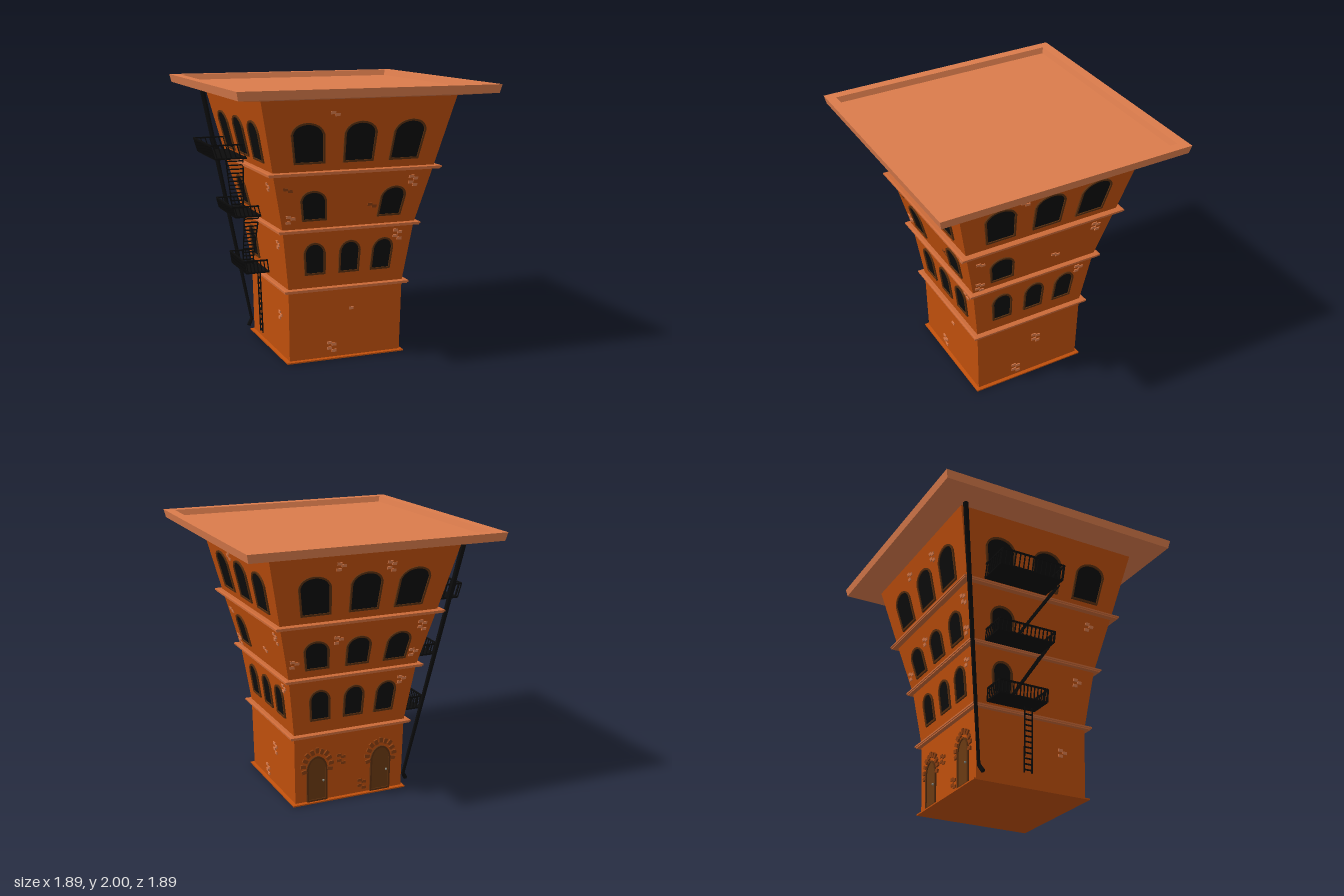
import * as THREE from 'three';

const mat = (color) => new THREE.MeshStandardMaterial({ color, flatShading: true, roughness: 0.9 });
const M = {
  wall: mat(0xbf4f0c), roof: mat(0xdb7c4c), ledge: mat(0xcb6a38), frame: mat(0x5c300f),
  glass: mat(0x0d0d0d), iron: mat(0x0b0b0b), door: mat(0x6a3a12), stone: mat(0x8a3e10),
  knob: mat(0x8a8a80),
};

// Wall profile: half width against height
const PROFILE = [[0.43, 0], [0.44, 0.54], [0.5, 0.98], [0.6, 1.4], [0.722, 1.925]];
function halfWidth(y) {
  let i = 0;
  while (i < PROFILE.length - 2 && y > PROFILE[i + 1][1]) i++;
  const [a, ya] = PROFILE[i], [b, yb] = PROFILE[i + 1];
  return a + ((b - a) * (y - ya)) / (yb - ya);
}

function add(parent, name, geo, material) {
  const m = new THREE.Mesh(geo, material);
  m.name = name;
  parent.add(m);
  return m;
}

// Square solid turned from a [halfWidth, y] profile
function squareLoft(profile) {
  const pts = profile.map(([w, y]) => new THREE.Vector2(w * Math.SQRT2, y));
  const g = new THREE.LatheGeometry(pts, 4, Math.PI / 4).toNonIndexed();
  g.computeVertexNormals();
  return g;
}

// Lays a flat piece on the flaring wall (local +z is outward)
function onWall(geo, yMid) {
  const p = geo.attributes.position;
  for (let i = 0; i < p.count; i++) {
    const h = halfWidth(p.getY(i));
    p.setXYZ(i, (p.getX(i) * h) / halfWidth(yMid), p.getY(i), p.getZ(i) + h);
  }
  geo.computeVertexNormals();
  return geo;
}

function arch(Type, cx, w, y0, spring, y1) {
  const s = new Type(), c = y1 - 0.06 * (y1 - spring);
  s.moveTo(cx - w, y0);
  s.lineTo(cx + w, y0);
  s.lineTo(cx + w, spring);
  s.quadraticCurveTo(cx + w * 0.8, c, cx, y1);
  s.quadraticCurveTo(cx - w * 0.8, c, cx - w, spring);
  s.closePath();
  return s;
}

const extrude = (shape, depth) =>
  new THREE.ExtrudeGeometry(shape, { depth, bevelEnabled: false, curveSegments: 6 });

// Arched opening with a raised frame
function opening(parent, name, cx, w, y0, spring, y1, fill, t = 0.014) {
  const g = new THREE.Group(), yMid = (y0 + y1) / 2;
  g.name = name;
  const outer = arch(THREE.Shape, cx, w, y0, spring, y1);
  outer.holes.push(arch(THREE.Path, cx, w - t, y0 + t, spring, y1 - t));
  add(g, 'frame', onWall(extrude(outer, 0.012), yMid), M.frame);
  const pane = arch(THREE.Shape, cx, w - t / 2, y0 + t / 2, spring, y1 - t / 2);
  add(g, 'pane', onWall(extrude(pane, 0.004), yMid), fill);
  parent.add(g);
}

// Staggered patch of exposed bricks
function bricks(parent, [x, y, count, material = M.roof]) {
  const spots = [[-0.017, 0.033], [0.017, 0.018], [-0.017, -0.009], [0.017, -0.03]];
  for (const [dx, dy] of spots.slice(0, count)) {
    const geo = new THREE.BoxGeometry(0.036, 0.021, 0.014).translate(x + dx, y + dy, 0);
    add(parent, 'brick', onWall(geo, y + dy), material);
  }
}

// Square bar between two points
function bar(parent, name, a, b, t = 0.008) {
  const from = new THREE.Vector3(...a), to = new THREE.Vector3(...b);
  const m = add(parent, name, new THREE.BoxGeometry(t, t, from.distanceTo(to)), M.iron);
  m.position.copy(from).lerp(to, 0.5);
  m.lookAt(to);
}

function door(parent, cx) {
  opening(parent, 'door', cx, 0.082, 0.012, 0.27, 0.365, M.door);
  const knob = new THREE.SphereGeometry(0.009, 8, 6).translate(cx + 0.048, 0.17, 0.012);
  add(parent, 'doorKnob', onWall(knob, 0.17), M.knob);
  // Ring of arch stones
  for (let i = 0; i <= 10; i++) {
    const a = (i / 10) * (Math.PI + 0.5) - 0.25, r = 0.105 + (i % 2) * 0.006;
    const geo = new THREE.BoxGeometry(0.04, 0.027, 0.026).rotateZ(a);
    geo.translate(cx + r * Math.cos(a), 0.285 + (r + 0.015) * Math.sin(a), 0);
    add(parent, 'archStone', onWall(geo, 0.28), M.stone);
  }
}

// Balcony with leaning railings on three sides
function balcony(parent, y, x0, x1, outer, lean, h) {
  const g = new THREE.Group(), inner = halfWidth(y) - 0.01;
  g.name = 'balcony';
  const slab = add(g, 'balconyFloor', new THREE.BoxGeometry(x1 - x0, 0.012, outer - inner), M.iron);
  slab.position.set((x0 + x1) / 2, y, (inner + outer) / 2);
  const post = (x, z) => bar(g, 'railPost', [x, y, z], [x, y + h, z + lean], 0.007);
  for (const x of [x0, x1]) {
    bar(g, 'topRail', [x, y + h, inner + lean], [x, y + h, outer + lean], 0.011);
    for (let i = 0; i < 7; i++) post(x, inner + ((outer - inner) * (i + 0.5)) / 7);
  }
  bar(g, 'topRail', [x0, y + h, outer + lean], [x1, y + h, outer + lean], 0.011);
  for (let i = 0; i <= 14; i++) post(x0 + ((x1 - x0) * i) / 14, outer);
  parent.add(g);
}

// Steps between two side rails; each rail is [bottom, top]
function steps(parent, name, railA, railB, count) {
  const g = new THREE.Group();
  g.name = name;
  bar(g, 'sideRail', ...railA);
  bar(g, 'sideRail', ...railB);
  const at = ([a, b], t) => a.map((v, k) => v + (b[k] - v) * t);
  for (let i = 0; i < count; i++) {
    const t = (i + 0.5) / count;
    bar(g, 'step', at(railA, t), at(railB, t), 0.009);
  }
  parent.add(g);
}

const TOP = [-0.365, 0.013, 0.375], LOW = [-0.255, 0.01, 0.262];
const FACES = [
  { name: 'frontFace', turn: 0, top: TOP, mid: [-0.288, 0.305], low: LOW,
    bricks: [[-0.108, 0.09, 4], [0.058, 0.337, 1], [0.377, 0.902, 4], [0.455, 1.305, 4],
      [-0.185, 1.79, 2], [-0.487, 1.264, 2, M.stone], [-0.45, 1.06, 3], [0.155, 1.115, 2, M.stone]] },
  { name: 'leftFace', turn: Math.PI / 2, top: TOP, mid: [-0.295], low: LOW,
    bricks: [[0.06, 0.315, 4], [-0.11, 0.08, 4], [-0.19, 1.765, 4], [-0.475, 1.25, 2],
      [-0.455, 1.04, 4], [0.455, 1.29, 4], [0.15, 1.1, 2], [0.385, 0.88, 3]] },
  { name: 'backFace', turn: Math.PI, top: TOP, mid: [-0.31, 0.01, 0.32], low: LOW, doors: [-0.262, 0.25],
    bricks: [[-0.07, 0.31, 4, M.stone], [0.1, 0.08, 4, M.stone], [0.19, 1.78, 4], [-0.19, 1.8, 3],
      [0.5, 1.3, 4], [0.46, 1.08, 3], [-0.15, 1.25, 3], [-0.47, 1.1, 3], [0.39, 0.87, 3]] },
  { name: 'rightFace', turn: -Math.PI / 2, top: TOP, mid: [-0.295], low: [-0.255],
    bricks: [[0.25, 0.3, 3], [0.42, 1.28, 3], [0.36, 0.85, 3]] },
];

export function createModel() {
  const root = new THREE.Group();
  root.name = 'flaredTower';

  // Tower body, base plate and floor ledges
  add(root, 'walls', squareLoft([[0, 0], ...PROFILE]), M.wall);
  add(root, 'basePlate', squareLoft([[0, 0], [0.455, 0], [0.455, 0.01], [0.42, 0.016]]), M.wall);
  for (const [y, w] of [[0.538, 0.48], [0.985, 0.54], [1.405, 0.647]]) {
    add(root, 'floorLedge', squareLoft([[w - 0.06, y - 0.013], [w - 0.008, y - 0.013], [w - 0.008, y - 0.004],
      [w, y - 0.004], [w, y + 0.008], [w - 0.012, y + 0.012], [w - 0.07, y + 0.012]]), M.ledge);
  }

  // Roof slab with a raised rim around a sunken deck
  add(root, 'roof', squareLoft([[0, 1.915], [0.72, 1.915], [0.932, 1.94], [0.945, 2],
    [0.875, 2], [0.862, 1.957], [0, 1.957]]), M.roof);

  // Windows, doors and brick patches on each face
  const faces = {};
  for (const f of FACES) {
    const g = (faces[f.name] = new THREE.Group());
    g.name = f.name;
    g.rotation.y = f.turn;
    for (const x of f.top) opening(g, 'topWindow', x, 0.119, 1.47, 1.68, 1.76, M.glass);
    for (const x of f.mid) opening(g, 'middleWindow', x, 0.096, 1.053, 1.205, 1.277, M.glass);
    for (const x of f.low) opening(g, 'lowerWindow', x, 0.081, 0.648, 0.815, 0.89, M.glass);
    for (const x of f.doors || []) door(g, x);
    for (const b of f.bricks) bricks(g, b);
    root.add(g);
  }

  // Fire escape on the right face
  const escape = new THREE.Group();
  escape.name = 'fireEscape';
  faces.rightFace.add(escape);
  balcony(escape, 0.585, -0.36, 0.02, 0.625, 0.013, 0.09);
  balcony(escape, 1.015, -0.41, 0.035, 0.705, 0.02, 0.075);
  balcony(escape, 1.447, -0.47, 0.03, 0.848, 0.03, 0.1);
  steps(escape, 'lowerStairs', [[-0.23, 0.59, 0.5], [0.04, 1.015, 0.53]],
    [[-0.23, 0.59, 0.575], [0.04, 1.015, 0.64]], 13);
  steps(escape, 'upperStairs', [[-0.23, 1.02, 0.565], [0.05, 1.447, 0.645]],
    [[-0.23, 1.02, 0.65], [0.05, 1.447, 0.775]], 13);
  steps(escape, 'ladder', [[-0.09, 0.1, 0.485], [-0.09, 0.585, 0.503]],
    [[-0.03, 0.1, 0.485], [-0.03, 0.585, 0.503]], 12);

  // Tapering drainpipe down the back right corner
  const pipe = new THREE.Group();
  pipe.name = 'drainpipe';
  const stops = [[-0.752, 1.925, -0.7, 0.02], [-0.458, 0.12, -0.425, 0.012], [-0.456, 0.1, -0.42, 0.014],
    [-0.484, 0.055, -0.405, 0.016]].map(([x, y, z, r]) => ({ p: new THREE.Vector3(x, y, z), r }));
  for (let i = 0; i < 3; i++) {
    const a = stops[i], b = stops[i + 1], dir = a.p.clone().sub(b.p);
    const m = add(pipe, 'pipeSection', new THREE.CylinderGeometry(a.r, b.r, dir.length() + 0.004, 8), M.iron);
    m.position.copy(a.p).lerp(b.p, 0.5);
    m.quaternion.setFromUnitVectors(new THREE.Vector3(0, 1, 0), dir.normalize());
  }
  root.add(pipe);
  return root;
}
